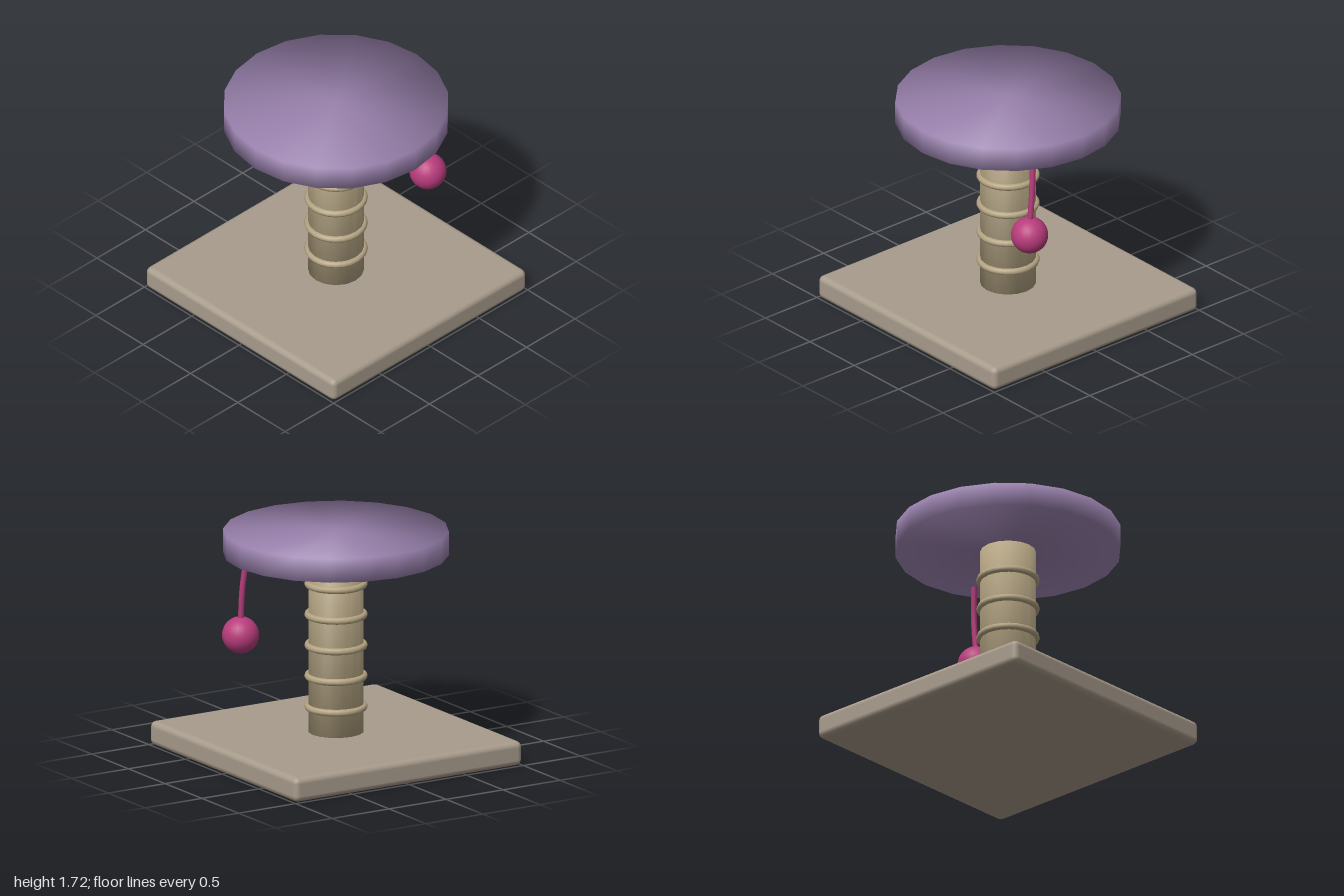
import * as THREE from 'three';
import { RoundedBoxGeometry } from 'three/addons/geometries/RoundedBoxGeometry.js';

const paint = (color) => new THREE.MeshStandardMaterial({ color });

// Closed cylinder whose shading rolls softly over the rim
function softCylinder(radius, bottom, top, sides) {
  const geo = new THREE.CylinderGeometry(radius, radius, top - bottom, sides);
  const pos = geo.attributes.position;
  const n = new THREE.Vector3();
  for (let i = 0; i < pos.count; i++) {
    n.set((pos.getX(i) / radius) * 0.85, 0.53 * Math.sign(pos.getY(i)), (pos.getZ(i) / radius) * 0.85).normalize();
    geo.attributes.normal.setXYZ(i, n.x, n.y, n.z);
  }
  return geo.translate(0, (bottom + top) / 2, 0);
}

export function createModel() {
  const model = new THREE.Group();
  const add = (name, geometry, material, parent = model) => {
    const mesh = new THREE.Mesh(geometry, material);
    mesh.name = name;
    parent.add(mesh);
    return mesh;
  };

  const baseColor = paint(0xa89c8c);
  const ropeColor = paint(0xb5a583);
  const plushColor = paint(0x9a82ae);
  const toyColor = paint(0xb83c7c);

  // Square base with rounded edges
  add('base', new RoundedBoxGeometry(2, 0.185, 2, 2, 0.045), baseColor).position.y = 0.0925;

  // Post with evenly spaced rope rings
  add('post', softCylinder(0.208, 0.17, 1.55, 16), ropeColor);
  const rings = new THREE.Group();
  rings.name = 'ropeRings';
  model.add(rings);
  for (let i = 0; i < 5; i++) {
    const ring = add('ropeRing', new THREE.TorusGeometry(0.209, 0.026, 8, 24), ropeColor, rings);
    ring.rotation.x = Math.PI / 2;
    ring.position.y = 0.375 + i * 0.234;
  }

  // Round perch on top
  add('perch', softCylinder(0.835, 1.54, 1.72, 20), plushColor);

  // Ball hanging on a slightly bent string
  const toy = new THREE.Group();
  toy.name = 'hangingToy';
  model.add(toy);
  const path = new THREE.CatmullRomCurve3([
    new THREE.Vector3(0.6, 1.55, 0.28),
    new THREE.Vector3(0.625, 1.3, 0.305),
    new THREE.Vector3(0.625, 1.0, 0.33),
  ]);
  add('string', new THREE.TubeGeometry(path, 8, 0.022, 8), toyColor, toy);
  add('ball', new THREE.SphereGeometry(0.138, 24, 16), toyColor, toy).position.set(0.625, 0.935, 0.33);

  return model;
}
